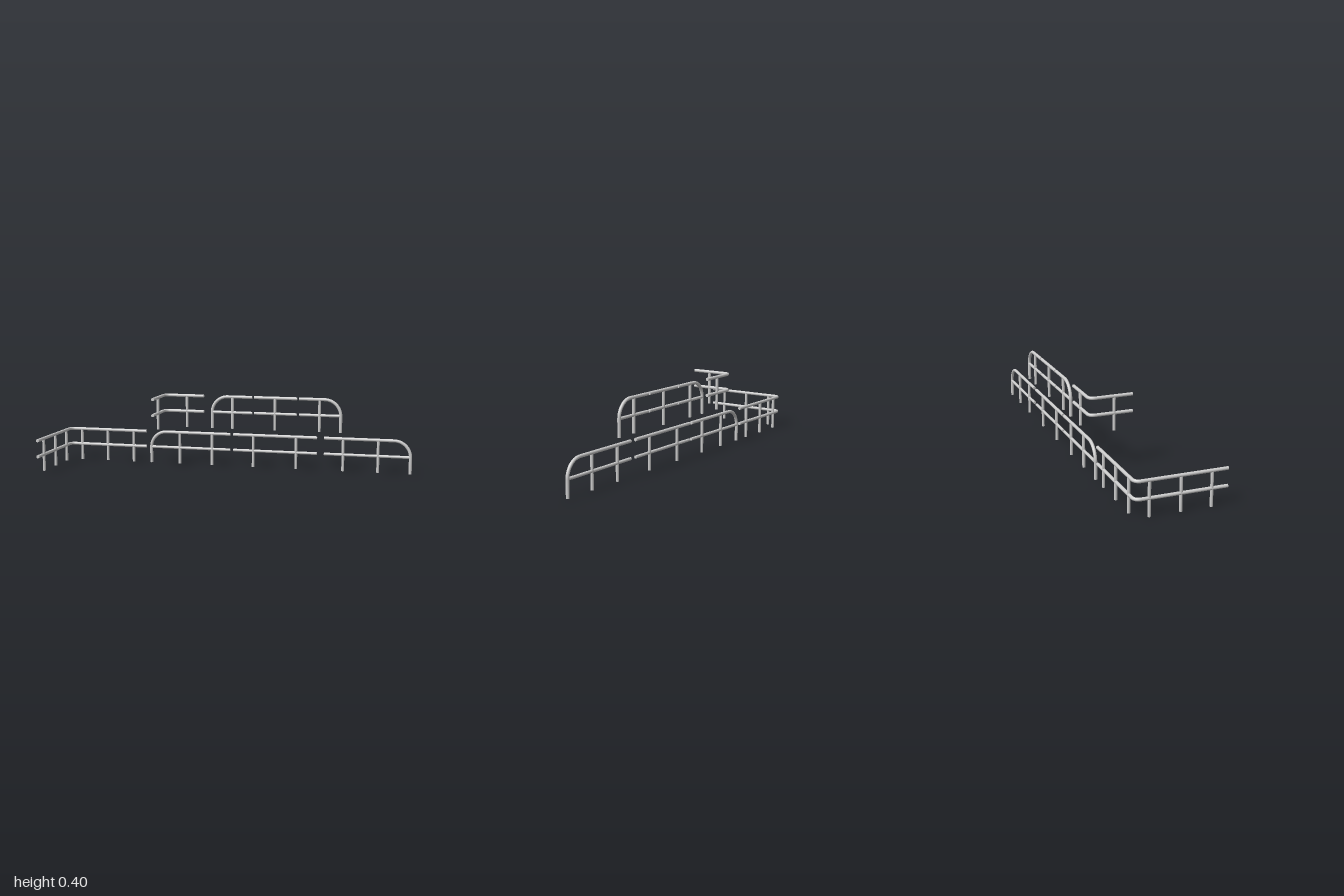
import * as THREE from 'three';

const material = new THREE.MeshStandardMaterial({ color: 0xcccccc, roughness: 0.6 });
const R = 0.0088, POST_R = 0.008, BACK = -0.231;
const V = (x, y, z) => new THREE.Vector3(x, y, z);

// Closed straight bar between two points
function bar(name, a, b, r) {
  const dir = b.clone().sub(a);
  const mesh = new THREE.Mesh(new THREE.CylinderGeometry(r, r, dir.length(), 16), material);
  mesh.position.copy(a).add(b).multiplyScalar(0.5);
  mesh.quaternion.setFromUnitVectors(V(0, 1, 0), dir.normalize());
  mesh.name = name;
  return mesh;
}

// Pipe from a to b with one rounded corner
function bentPipe(name, a, corner, b, radius) {
  const group = new THREE.Group();
  group.name = name;
  const toward = (p, d) => corner.clone().addScaledVector(p.clone().sub(corner).normalize(), d);
  const p = toward(a, radius), q = toward(b, radius);
  const k = radius * (1 - 0.5523);
  const curve = new THREE.CubicBezierCurve3(p, toward(a, k), toward(b, k), q);
  const bend = new THREE.Mesh(new THREE.TubeGeometry(curve, 16, R, 16), material);
  bend.name = 'bend';
  group.add(bar('straight', a, p, R), bend, bar('straight', q, b, R));
  return group;
}

// Railing along x; endX marks a hooped end post, otherwise both ends are open
function railing(name, base, x0, x1, posts, hoop = 0) {
  const group = new THREE.Group();
  group.name = name;
  const top = base + 0.181, mid = base + 0.092;
  const a = V(x0, top, BACK), b = V(x1, top, BACK);
  if (hoop) {
    const [end, free] = hoop < 0 ? [a, b] : [b, a];
    group.add(bentPipe('hoopedTopRail', V(end.x, base, BACK), end, free, 0.09));
  } else group.add(bar('topRail', a, b, R));
  group.add(bar('middleRail', V(x0, mid, BACK), V(x1, mid, BACK), POST_R));
  for (const x of posts) group.add(bar('post', V(x, base, BACK), V(x, top, BACK), POST_R));
  return group;
}

// Railing that turns from the back run to a side run along z
function cornerRailing(name, base, x0, x1, zEnd, backPosts, sidePosts) {
  const group = new THREE.Group();
  group.name = name;
  const top = base + 0.181;
  for (const [part, y] of [['topRail', top], ['middleRail', base + 0.092]])
    group.add(bentPipe(part, V(x0, y, zEnd), V(x0, y, BACK), V(x1, y, BACK), 0.03));
  for (const x of backPosts) group.add(bar('post', V(x, base, BACK), V(x, top, BACK), POST_R));
  for (const z of sidePosts) group.add(bar('post', V(x0, base, z), V(x0, top, z), POST_R));
  return group;
}

export function createModel() {
  const model = new THREE.Group();
  model.name = 'railings';
  const U = 0.215; // base height of the upper row
  model.add(
    // Lower row
    cornerRailing('lowerCornerRailing', 0, -0.991, -0.521, 0.24, [-0.92, -0.76, -0.6], [0.158, 0, -0.159]),
    railing('lowerLeftEndRailing', 0, -0.491, -0.02, [-0.32, -0.128], -1),
    railing('lowerStraightRailing', 0, -0.002, 0.476, [0.113, 0.358]),
    railing('lowerRightEndRailing', 0, 0.516, 0.991, [0.622, 0.815], 1),
    // Upper row
    cornerRailing('upperCornerRailing', U, -0.407, -0.175, 0, [-0.275], [-0.099]),
    railing('upperLeftEndRailing', U, -0.126, 0.106, [-0.008], -1),
    railing('upperStraightRailing', U, 0.117, 0.361, [0.236]),
    railing('upperRightEndRailing', U, 0.373, 0.606, [0.488], 1),
  );
  return model;
}
